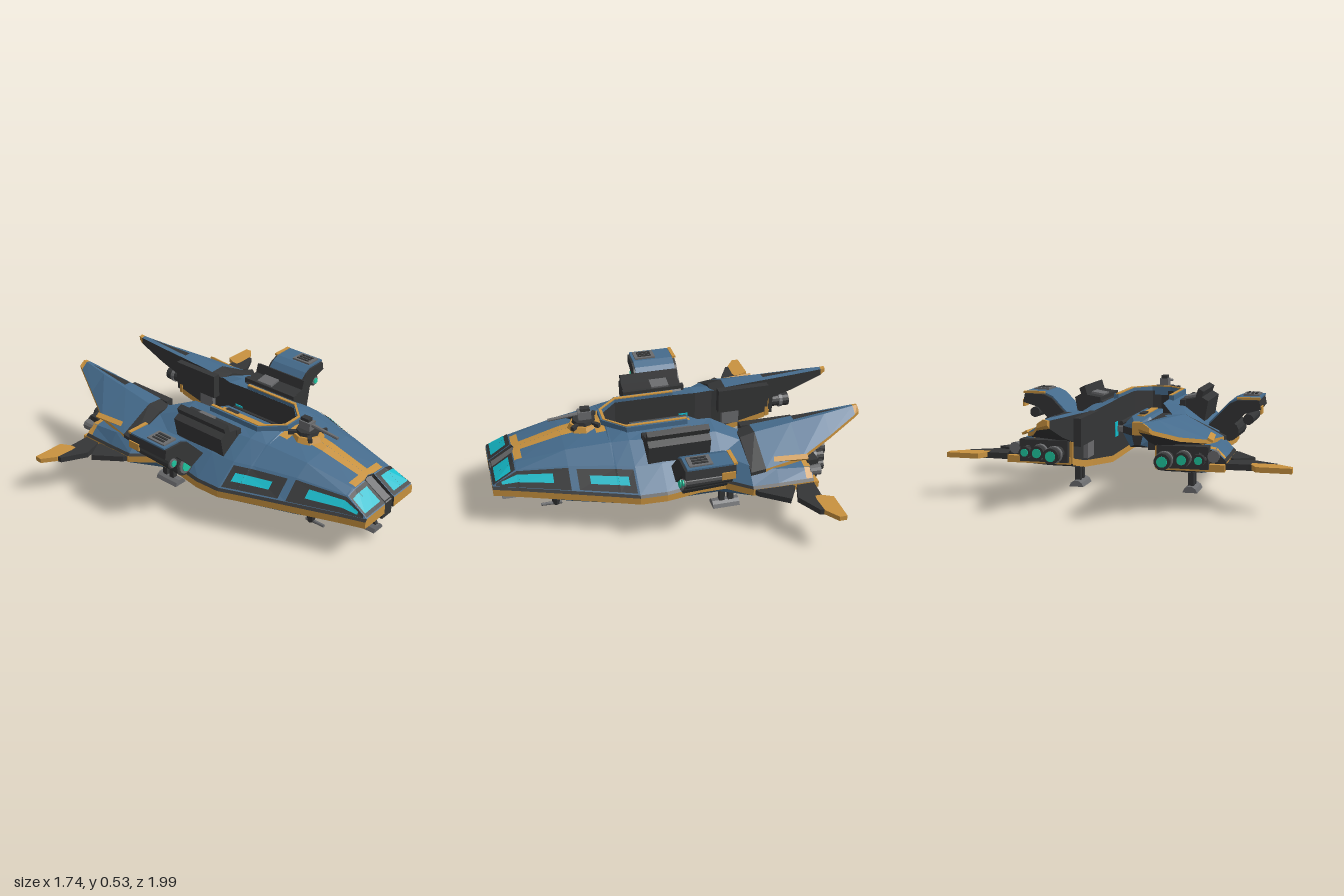
import * as THREE from 'three';

const mat = (name, color) => Object.assign(new THREE.MeshStandardMaterial({ color }), { name });

export function createModel() {
  const root = new THREE.Group();
  root.name = 'spaceship';
  const blue = mat('hull blue', 0x456b8c), gold = mat('trim gold', 0xc8923f), dark = mat('dark panel', 0x343536);
  const grey = mat('metal grey', 0x6a6b6d), cyan = mat('window cyan', 0x14bccb), green = mat('engine green', 0x1fc7a0);
  const mats = [blue, gold, dark, grey, cyan, green];

  // Faceted mesh; with both = true a mirrored copy is added on the other side
  function put(geo, material, name, both = false, pos = [0, 0, 0], rot = [0, 0, 0]) {
    const g = geo.index ? geo.toNonIndexed() : geo;
    g.applyMatrix4(new THREE.Matrix4().makeRotationFromEuler(new THREE.Euler(...rot)));
    g.translate(...pos);
    g.deleteAttribute('uv');
    g.computeVertexNormals();
    const add = (geom, n) => {
      const m = new THREE.Mesh(geom, material);
      m.name = n;
      root.add(m);
    };
    add(g, both ? name + 'Left' : name);
    if (!both) return;
    const r = g.clone(), p = r.attributes.position, a = new THREE.Vector3(), b = new THREE.Vector3();
    for (let i = 0; i < p.count; i += 3) {
      a.fromBufferAttribute(p, i + 1);
      b.fromBufferAttribute(p, i + 2);
      p.setXYZ(i, -p.getX(i), p.getY(i), p.getZ(i));
      p.setXYZ(i + 1, -b.x, b.y, b.z);
      p.setXYZ(i + 2, -a.x, a.y, a.z);
    }
    r.computeVertexNormals();
    add(r, name + 'Right');
  }
  const box = (n, m, size, pos, both, rot) => put(new THREE.BoxGeometry(...size), m, n, both, pos, rot);
  // Cylinder along z from z0 to z1
  const tube = (n, m, r0, r1, x, y, z0, z1, both, sides = 14) =>
    put(new THREE.CylinderGeometry(r1, r0, z1 - z0, sides), m, n, both, [x, y, (z0 + z1) / 2], [Math.PI / 2, 0, 0]);
  const shape = pts => new THREE.Shape(pts.map(p => new THREE.Vector2(...p)));
  const extrude = (s, depth) => new THREE.ExtrudeGeometry(s, { depth, bevelEnabled: false });
  const tri = v => {
    const g = new THREE.BufferGeometry();
    g.setAttribute('position', new THREE.Float32BufferAttribute(v.flat(), 3));
    return g;
  };

  // Closed skin over sections that run from front to back; pick(band, station) gives the colour
  function loft(secs, pick) {
    const by = mats.map(() => []), n = secs[0].length, last = secs.length - 1;
    for (let i = 0; i < last; i++) for (let j = 0; j < n; j++) {
      const k = (j + 1) % n, a = secs[i][j], b = secs[i][k], c = secs[i + 1][k], d = secs[i + 1][j];
      by[mats.indexOf(pick(j, i))].push(a, d, c, a, c, b);
    }
    for (let j = 1; j < n - 1; j++) {
      by[mats.indexOf(pick(-1, 0))].push(secs[0][0], secs[0][j], secs[0][j + 1]);
      by[mats.indexOf(pick(-2, last))].push(secs[last][0], secs[last][j + 1], secs[last][j]);
    }
    const g = tri(by.flat());
    let start = 0;
    by.forEach((v, i) => { if (v.length) g.addGroup(start, v.length, i); start += v.length; });
    return g;
  }

  // Hull half: z, inner x, chine x, bottom x, bottom y, shoulder x y, deck x y, ridge y
  const stations = [
    [.99, .04, .21, .19, .198, .2, .253, .12, .254, .255],
    [.86, .04, .255, .2, .17, .18, .32, .13, .335, .34],
    [.85, 0, .259, .2, .168, .183, .321, .131, .338, .343],
    [.6, 0, .353, .25, .125, .25, .345, .17, .395, .41],
    [.37, 0, .44, .32, .12, .315, .35, .2, .42, .45],
    [.36, .05, .444, .322, .12, .32, .35, .202, .42, .45],
    [.27, .14, .48, .35, .12, .35, .35, .22, .43, .455],
    [.13, .14, .485, .36, .12, .36, .35, .24, .43, .455],
    [-.05, .14, .455, .36, .12, .35, .35, .24, .43, .455],
    [-.19, .14, .455, .36, .12, .36, .35, .25, .43, .45],
    [-.31, .215, .55, .37, .12, .46, .33, .3, .39, .41],
    [-.45, .215, .555, .4, .14, .5, .31, .31, .36, .375],
    [-.64, .215, .555, .42, .185, .5, .29, .3, .32, .33],
  ];
  const hull = stations.map(([z, xi, xc, xb, yb, x5, y5, x6, y6, y7]) => [
    [xi, yb, z], [xb, yb, z], [xc, .2, z], [xc, .237, z], [xc - .012, .25, z],
    [x5, y5, z], [x6, y6, z], [xi, y7, z], [xi, yb + .035, z]]);
  put(loft(hull, (j, i) => {
    if (j === -1 || j === 2) return gold;
    if (j === 0) return i < 3 ? blue : dark;
    if (j === 8) return i > 3 ? gold : dark;
    return j === -2 || j === 3 || j === 7 ? dark : blue;
  }), mats, 'hull', true);

  // Thin skin panel over the hull between two z values and two (fractional) profile rows
  function surf(z, r) {
    let i = 0;
    while (i < stations.length - 2 && z <= stations[i + 1][0]) i++;
    const t = (z - stations[i][0]) / (stations[i + 1][0] - stations[i][0]), j = Math.min(Math.floor(r), 6);
    const row = k => new THREE.Vector3(...hull[i][k]).lerp(new THREE.Vector3(...hull[i + 1][k]), t);
    return row(j).lerp(row(j + 1), r - j);
  }
  function panel(name, m, z0, z1, r0, r1, off) {
    const zs = [z0, ...stations.map(s => s[0]).filter(z => z < z0 && z > z1), z1];
    const rs = [r0, ...[4, 5, 6].filter(r => r > r0 && r < r1), r1], out = [];
    for (let i = 0; i + 1 < zs.length; i++) for (let j = 0; j + 1 < rs.length; j++) {
      const [a, b, c, d] = [surf(zs[i], rs[j]), surf(zs[i + 1], rs[j]), surf(zs[i + 1], rs[j + 1]), surf(zs[i], rs[j + 1])];
      const n = c.clone().sub(a).cross(d.clone().sub(b)).normalize().multiplyScalar(off);
      const q = [a, b, c, d].map(p => p.add(n).toArray());
      out.push(q[0], q[1], q[2], q[0], q[2], q[3]);
    }
    put(tri(out), m, name, true);
  }
  panel('noseWindowFrame', dark, .985, .865, 5, 7, .004);
  panel('noseWindow', cyan, .968, .885, 5.1, 6.75, .008);
  panel('cheekWindowFrame', dark, .97, .6, 4.02, 4.92, .004);
  panel('cheekWindow', cyan, .94, .68, 4.3, 4.72, .008);
  panel('sideWindowFrame', dark, .56, .28, 4.05, 4.88, .004);
  panel('sideWindow', cyan, .5, .31, 4.3, 4.62, .008);
  panel('deckStripe', gold, .85, .37, 6.72, 7, .004);
  panel('deckCrossStripe', gold, .86, .82, 6.1, 7, .005);
  panel('deckFork', gold, .42, .37, 6.45, 7, .005);
  panel('rearFlankTrim', gold, -.6, -.635, 4, 6, .005);

  // Nose ramp in the notch
  box('noseRamp', dark, [.08, .1, .12], [0, .21, .92]);
  box('noseRampPlate', grey, [.05, .012, .16], [0, .29, .915], false, [.55, 0, 0]);

  // Raised collar round the docking slot
  const collarPath = (w, zf, zb) => [[w, -zb], [w, -.27], [.055, -zf], [-.055, -zf], [-w, -.27], [-w, -zb]];
  const collar = shape([...collarPath(.168, .385, -.06), ...collarPath(.142, .362, -.06).reverse()]);
  put(extrude(collar, .05), blue, 'slotCollar', false, [0, .425, 0], [-Math.PI / 2, 0, 0]);
  const rim = shape([...collarPath(.158, .376, -.06), ...collarPath(.141, .361, -.06).reverse()]);
  put(extrude(rim, .006), gold, 'slotCollarTrim', false, [0, .473, 0], [-Math.PI / 2, 0, 0]);

  // Docked centre module
  const modSec = (z, w, h) => [[-w * .6, .28 - h, z], [w * .6, .28 - h, z], [w, .27, z], [w, .31, z],
    [w * .5, .28 + h, z], [-w * .5, .28 + h, z], [-w, .31, z], [-w, .27, z]];
  put(loft([modSec(.3, .02, .045), modSec(.2, .1, .085), modSec(-.12, .1, .085), modSec(-.2, .03, .06)],
    j => (j === 2 || j === 6 || j === 0 || j < 0 ? dark : blue)), mats, 'centreModule');
  box('moduleStripe', gold, [.036, .008, .32], [0, .367, .04]);
  box('moduleTail', gold, [.05, .07, .03], [0, .31, -.195]);
  box('moduleHatch', dark, [.03, .02, .08], [0, .37, -.05]);
  tube('moduleRail', dark, .012, .012, .108, .325, -.13, .2, true, 8);
  for (const z of [-.1, .03, .16]) box('moduleClamp', grey, [.05, .03, .03], [.12, .29, z], true);
  box('slotLight', cyan, [.008, .08, .05], [.139, .29, -.12], true);

  // Deck launchers
  put(extrude(shape([[.2, .425], [.24, .465], [.3, .475], [.315, .525], [.345, .51], [.335, .48], [.37, .46], [.35, .35], [.24, .4]]), .33),
    dark, 'deckLauncher', true, [0, 0, -.13]);
  box('launcherPlate', grey, [.07, .012, .1], [.262, .474, -.01], true, [0, 0, .17]);
  box('launcherRail', dark, [.03, .03, .35], [.235, .45, .03], true);

  // Shoulder pods with forward thrusters
  const arm = [[.38, .34], [.49, .455], [.535, .475], [.645, .478], [.655, .43], [.57, .405], [.47, .3]];
  put(extrude(shape(arm), .26), dark, 'podArm', true, [0, 0, -.175]);
  const skin = [[.38, .342], [.49, .457], [.535, .477], [.65, .48]];
  put(extrude(shape([...skin.map(([x, y]) => [x, y + .009]).reverse(), ...skin]), .235), blue, 'podSkin', true, [0, 0, -.16]);
  box('podTrim', gold, [.12, .012, .02], [.59, .486, -.17], true);
  box('podSideMark', gold, [.008, .04, .07], [.655, .425, -.135], true);
  box('podVent', grey, [.085, .01, .12], [.59, .491, 0], true);
  for (const x of [.568, .59, .612]) box('podVentSlot', dark, [.012, .006, .08], [x, .497, 0], true);
  for (const [x, y, r, z1] of [[.49, .31, .06, .06], [.59, .375, .033, .07]]) {
    tube('thruster', dark, r * .85, r, x, y, -.17, z1, true);
    tube('thrusterRing', grey, r * .75, r * .75, x, y, z1, z1 + .008, true);
    tube('thrusterGlow', green, r * .5, r * .5, x, y, z1 + .008, z1 + .014, true);
  }

  // Tail fins
  const finSec = (z, xi, xr, xo, yt, yo, yb) => [[xi, yb, z], [xo, yo - .02, z], [xo, yo, z], [xr, yt, z], [xi, yt - .005, z]];
  const finLoops = [
    finSec(-.31, .215, .3, .5, .405, .31, .3), finSec(-.39, .212, .3, .5, .425, .32, .3),
    finSec(-.6, .21, .28, .465, .44, .335, .29), finSec(-.8, .21, .26, .36, .452, .375, .35),
    finSec(-.975, .212, .235, .275, .463, .43, .42), finSec(-1, .215, .235, .265, .466, .445, .44)];
  put(loft(finLoops, (j, i) => {
    if (i === 4 || j === -2) return gold;
    if (j === 1 && i > 0) return gold;
    return j === 0 || j === 4 || j === -1 || i === 0 ? dark : blue;
  }), mats, 'tailFin', true);
  const finPlate = [[.235, .462, -.92], [.225, .448, -.62], [.265, .447, -.62]];
  put(tri([finPlate[0], finPlate[1], finPlate[2]]), dark, 'finInset', true);
  box('finInnerVent', dark, [.045, .14, .3], [.193, .35, -.49], true);
  box('innerWallMachinery', grey, [.03, .1, .1], [.205, .24, -.42], true);
  box('finEdgeTrim', gold, [.03, .012, .2], [.462, .338, -.53], true, [0, -.1, -.5]);

  // Main engines at the stern
  box('engineMount', dark, [.25, .11, .06], [.35, .26, -.66], true);
  for (const [x, y, r, z] of [[.275, .255, .04, -.8], [.36, .26, .036, -.76], [.435, .255, .03, -.73]]) {
    tube('engine', dark, r, r * .8, x, y, z, -.65, true);
    tube('engineRing', grey, r * 1.08, r * 1.08, x, y, z + .04, z + .06, true);
    tube('engineGlow', green, r * .65, r * .65, x, y, z - .004, z, true);
  }
  tube('smallExhaust', grey, .03, .024, .5, .27, -.69, -.63, true, 10);
  box('sternTrim', gold, [.03, .11, .02], [.225, .25, -.65], true);
  box('sternLowerTrim', gold, [.33, .035, .04], [.385, .21, -.65], true);

  // Wings: outline given as x, z
  const wing = (name, m, pts, h, y) => put(extrude(shape(pts.map(([x, z]) => [x, -z])), h), m, name, true, [0, y, 0], [-Math.PI / 2, 0, 0]);
  wing('wingRoot', dark, [[.54, -.55], [.66, -.51], [.79, -.58], [.8, -.64], [.66, -.635], [.54, -.64]], .03, .2);
  wing('wingTip', gold, [[.67, -.6], [.7, -.595], [.8, -.6], [.87, -.65], [.87, -.69], [.7, -.69], [.67, -.63]], .026, .205);
  wing('foreWinglet', dark, [[.53, -.31], [.57, -.33], [.67, -.47], [.57, -.53], [.53, -.5]], .03, .205);

  // Roof turret
  put(new THREE.CylinderGeometry(.075, .09, .03, 8), gold, 'turretBase', false, [0, .435, .47]);
  put(new THREE.CylinderGeometry(.06, .065, .03, 8), dark, 'turretRing', false, [0, .455, .47]);
  for (let i = 0; i < 4; i++) {
    const a = Math.PI / 4 + i * Math.PI / 2;
    box('turretBrace', dark, [.02, .022, .06], [Math.sin(a) * .072, .452, .47 + Math.cos(a) * .072], false, [0, a, 0]);
  }
  box('turretBody', grey, [.05, .05, .07], [0, .49, .465]);
  box('turretSight', dark, [.035, .018, .05], [0, .523, .46]);
  put(new THREE.CylinderGeometry(.008, .011, .18, 8), grey, 'turretBarrel', false, [0, .492, .57], [Math.PI / 2 + .1, 0, 0]);

  // Landing gear
  const foot = shape([[-.04, 0], [.04, 0], [.03, .02], [.012, .032], [-.012, .032], [-.03, .02]]);
  put(extrude(foot, .17), grey, 'frontFoot', false, [0, .05, .77]);
  box('frontStrut', grey, [.03, .12, .03], [0, .125, .87], false, [.25, 0, 0]);
  box('frontStrutBrace', dark, [.02, .13, .02], [0, .12, .9], false, [-.45, 0, 0]);
  put(extrude(foot, .15), grey, 'rearFoot', true, [.31, 0, -.31]);
  for (const z of [-.215, -.265]) box('rearStrut', dark, [.03, .11, .03], [.31, .08, z], true);
  box('rearGearHousing', grey, [.06, .02, .12], [.31, .115, -.235], true);

  // Belly guns
  put(new THREE.CylinderGeometry(.025, .018, .04, 8), dark, 'bellyGunMount', true, [.21, .115, .67]);
  tube('bellyGun', grey, .01, .008, .21, .1, .64, .75, true, 8);
  return root;
}
